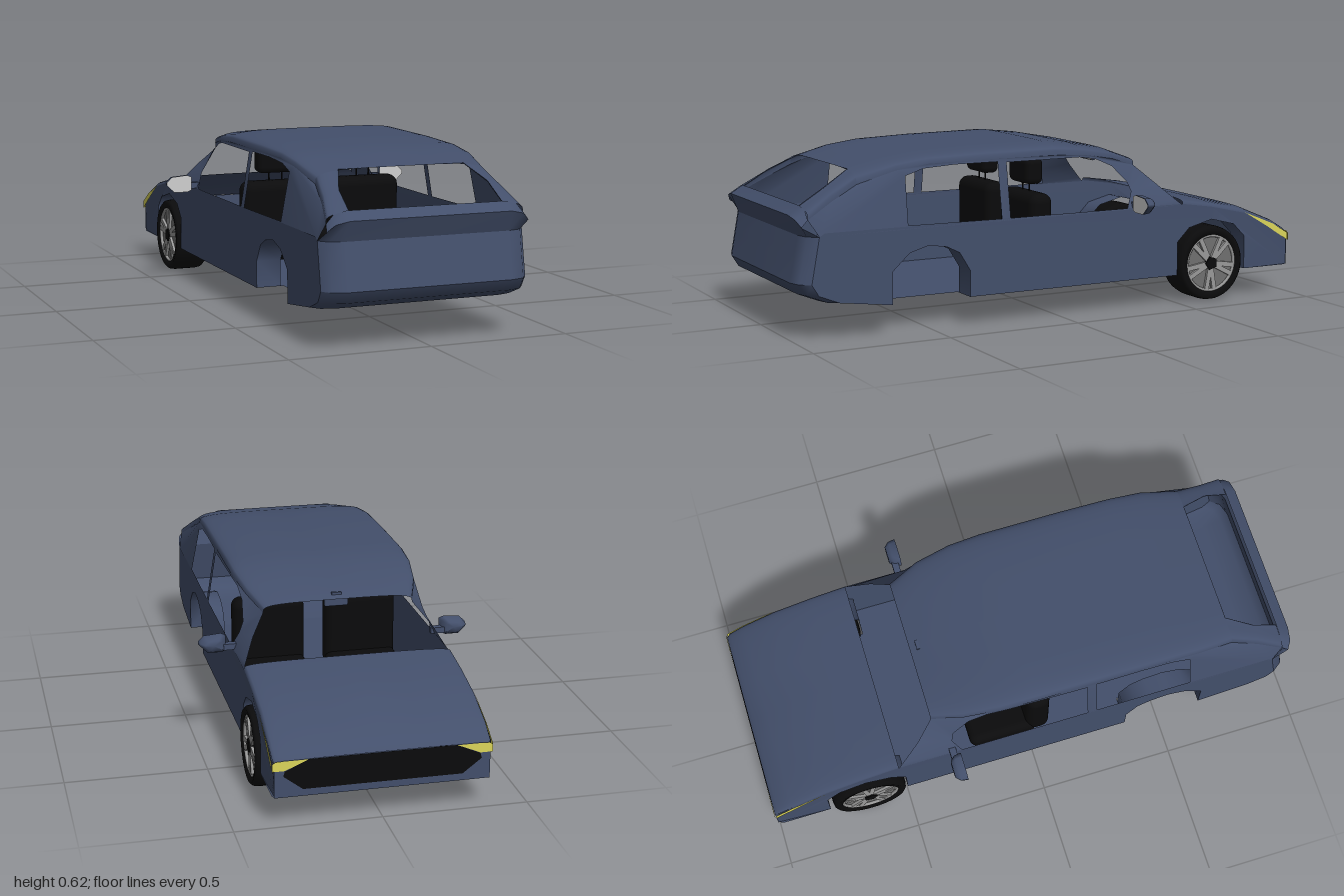
import * as THREE from 'three';
import { RoundedBoxGeometry } from 'three/addons/geometries/RoundedBoxGeometry.js';

const mat = (name, color, side = THREE.FrontSide) => {
  const m = new THREE.MeshStandardMaterial({ color, side });
  m.name = name;
  return m;
};

// Roof stations, nose to tail: z, crown height, rail x, rail y, rear window half width
const ROOF = [
  [-0.365, 0.545, 0.27, 0.515, 0], [-0.25, 0.585, 0.31, 0.55, 0], [-0.12, 0.608, 0.33, 0.573, 0],
  [0, 0.622, 0.335, 0.579, 0], [0.3, 0.618, 0.335, 0.58, 0], [0.5, 0.61, 0.333, 0.578, 0],
  [0.62, 0.595, 0.33, 0.562, 0], [0.76, 0.565, 0.312, 0.52, 0], [0.76, 0.565, 0.312, 0.52, 0.23],
  [0.86, 0.515, 0.33, 0.47, 0.27], [0.955, 0.458, 0.355, 0.418, 0.275],
];
// Bonnet stations in the same layout
const HOOD = [
  [-0.52, 0.392, 0.37, 0.372, 0], [-0.65, 0.373, 0.37, 0.352, 0], [-0.8, 0.342, 0.37, 0.318, 0],
  [-0.93, 0.288, 0.37, 0.265, 0], [-0.985, 0.253, 0.368, 0.235, 0], [-1, 0.235, 0.362, 0.222, 0],
];
// Wheel arch outlines as z, y
const REAR_ARCH = [[0.36, 0.105], [0.36, 0.2], [0.4, 0.265], [0.45, 0.29], [0.52, 0.3], [0.59, 0.28], [0.655, 0.22], [0.655, 0.105]];
const FRONT_ARCH = [[-0.8, 0.105], [-0.8, 0.23], [-0.75, 0.28], [-0.65, 0.305], [-0.55, 0.28], [-0.5, 0.23], [-0.5, 0.105]];

// Surface through rows of 3D points
function loft(rows) {
  const n = rows[0].length, idx = [];
  for (let i = 0; i < rows.length - 1; i++)
    for (let j = 0; j < n - 1; j++) {
      const a = i * n + j, b = a + n;
      idx.push(a, b, a + 1, b, b + 1, a + 1);
    }
  const g = new THREE.BufferGeometry();
  g.setAttribute('position', new THREE.Float32BufferAttribute(rows.flat(2), 3));
  g.setIndex(idx);
  g.computeVertexNormals();
  return g;
}

// Half of a crowned panel, from the side rail up to the centre (or the window edge)
const crown = (stations, s) => loft(stations.map(([z, top, rx, ry, hw]) => {
  const row = [];
  for (let k = 0; k <= 10; k++) {
    const t = (k / 10) * Math.PI / 2;
    const x = k === 10 ? 0 : rx * Math.sqrt(Math.cos(t));
    row.push([s * Math.max(hw, x), ry + (top - ry) * Math.sqrt(Math.sin(t)), z]);
  }
  return row;
}));

// Flat outline with holes, its corners placed in space by a rule
function panel(pts, holes, place) {
  const v = (p) => p.map(([a, b]) => new THREE.Vector2(a, b));
  const shape = new THREE.Shape(v(pts));
  holes.forEach((h) => shape.holes.push(new THREE.Path(v(h))));
  const g = new THREE.ShapeGeometry(shape), p = g.attributes.position;
  for (let i = 0; i < p.count; i++) p.setXYZ(i, ...place(p.getX(i), p.getY(i)));
  g.computeVertexNormals();
  return g;
}

// Rail position at any z
function rail(z) {
  let i = 0;
  while (i < ROOF.length - 2 && ROOF[i + 1][0] < z) i++;
  const a = ROOF[i], b = ROOF[i + 1];
  const t = THREE.MathUtils.clamp((z - a[0]) / (b[0] - a[0] || 1), 0, 1);
  return [a[2] + (b[2] - a[2]) * t, a[3] + (b[3] - a[3]) * t];
}

export function createModel() {
  const car = new THREE.Group();
  car.name = 'car';
  const paint = mat('bluePaint', 0x434f6b, THREE.DoubleSide);
  const black = mat('black', 0x0b0b0c, THREE.DoubleSide);
  const silver = mat('mirrorSilver', 0xcfcfcf);
  const yellow = mat('lampYellow', 0xdcd65a, THREE.DoubleSide);
  const alloy = mat('alloy', 0x999999);
  const rimGrey = mat('rimGrey', 0x707070);
  const add = (name, geo, m, parent = car, x = 0, y = 0, z = 0) => {
    const mesh = new THREE.Mesh(geo, m);
    mesh.name = name;
    mesh.position.set(x, y, z);
    parent.add(mesh);
    return mesh;
  };

  // Outline of the lower flank, with both arches cut from its bottom edge
  const flank = [
    [-1, 0.105], ...FRONT_ARCH, ...REAR_ARCH, [0.66, 0.105], [0.85, 0.13], [0.925, 0.16], [0.95, 0.2],
    [0.935, 0.28], [0.92, 0.36], [0.9, 0.372], ...HOOD.map((h) => [h[0], h[3]]),
  ];
  // Greenhouse side with two window openings
  const upper = [
    [-0.52, 0.368], [0.92, 0.36], [0.955, 0.418], ...ROOF.filter((r, i) => i !== 8 && i !== 10).reverse().map((r) => [r[0], r[3]]),
    [-0.43, 0.45], [-0.5, 0.385],
  ];
  const frontWindow = [[0.2, 0.37], [0.2, 0.566], [-0.1, 0.566], [-0.17, 0.555], [-0.24, 0.525], [-0.3, 0.465], [-0.31, 0.43], [-0.28, 0.37]];
  const rearWindow = [[0.595, 0.375], [0.235, 0.372], [0.235, 0.57], [0.4, 0.57], [0.52, 0.563], [0.59, 0.542]];

  for (const s of [1, -1]) {
    const side = s > 0 ? 'left' : 'right';
    add(side + 'Roof', crown(ROOF, s), paint);
    add(side + 'Bonnet', crown(HOOD, s), paint);
    add(side + 'LowerFlank', panel(flank, [], (z, y) => [s * (z < -0.99 ? 0.362 : 0.37), y, z]), paint);
    add(side + 'WindowFrame', panel(upper, [frontWindow, rearWindow], (z, y) => {
      if (z < -0.37) return [s * (0.37 - 0.6 * (y - 0.368)), y, z];
      const [rx, ry] = rail(z);
      const t = THREE.MathUtils.clamp((y - 0.37) / (ry - 0.37), 0, 1);
      return [s * (0.37 + (rx - 0.37) * Math.pow(t, 1.2)), y, z];
    }), paint);
    for (const [n, arch] of [['Front', FRONT_ARCH], ['Rear', REAR_ARCH]])
      add(side + n + 'ArchLip', loft([0.37, 0.28].map((x) => arch.map(([z, y]) => [s * x, y, z]))), paint);

    // Headlamp wrapping from the flank onto the nose
    add(side + 'LampSide', panel([[-0.8, 0.32], [-0.93, 0.268], [-0.998, 0.228], [-0.998, 0.2], [-0.9, 0.262]], [],
      (z, y) => [s * 0.373, y, z]), yellow);
    add(side + 'LampFront', panel([[0.372, 0.2], [0.372, 0.226], [0.36, 0.234], [0.25, 0.234], [0.33, 0.2]], [],
      (x, y) => [s * x, y, -1.003]), yellow);

    // Door mirror
    const mirror = new THREE.Group();
    mirror.name = side + 'DoorMirror';
    car.add(mirror);
    const glass = [[0.393, 0.368], [0.41, 0.361], [0.462, 0.361], [0.491, 0.39], [0.491, 0.4], [0.47, 0.42], [0.41, 0.425], [0.393, 0.418]];
    const ring = (z, k) => glass.concat([glass[0]]).map(([x, y]) => [s * (0.44 + (x - 0.44) * k), 0.393 + (y - 0.393) * k, z]);
    add('mirrorShell', loft([ring(-0.292, 1), ring(-0.318, 0.92), ring(-0.335, 0.6), ring(-0.335, 0)]), paint, mirror);
    const plate = panel(glass, [], (x, y) => [s * x, y, -0.29]);
    add('mirrorBack', plate, paint, mirror, 0, 0, -0.002);
    const face = panel(glass.map(([x, y]) => [s * x, y]), [], (x, y) => [x, y, -0.289]);
    add('mirrorGlass', face, silver, mirror);
    add('mirrorStem', new THREE.BoxGeometry(0.05, 0.022, 0.025), paint, mirror, s * 0.38, 0.383, -0.315);

    // Front seat with headrest on two posts
    const seat = new THREE.Group();
    seat.name = side + 'Seat';
    seat.position.x = s * 0.175;
    car.add(seat);
    add('seatBack', new RoundedBoxGeometry(0.27, 0.29, 0.09, 4, 0.035), black, seat, 0, 0.292, 0.035);
    add('seatCushion', new RoundedBoxGeometry(0.27, 0.08, 0.26, 3, 0.03), black, seat, 0, 0.17, -0.1);
    add('headrest', new RoundedBoxGeometry(0.152, 0.095, 0.07, 4, 0.022), black, seat, 0, 0.513, 0.035);
    for (const p of [-0.025, 0.025])
      add('headrestPost', new THREE.CylinderGeometry(0.003, 0.003, 0.06, 8), black, seat, p, 0.45, 0.035);

    // Front wheel, its axis turned to point outwards
    const wheel = new THREE.Group();
    wheel.name = side + 'FrontWheel';
    wheel.position.set(s * 0.318, 0.14, -0.645);
    wheel.rotation.z = -s * Math.PI / 2;
    car.add(wheel);
    const tyre = [[0.108, -0.062], [0.128, -0.067], [0.137, -0.058], [0.14, -0.04], [0.14, 0.04], [0.137, 0.058], [0.128, 0.067], [0.108, 0.062], [0.106, 0.045]];
    add('tyre', new THREE.LatheGeometry(tyre.map(([r, y]) => new THREE.Vector2(r, y)), 40), black, wheel);
    add('rimDisc', new THREE.CylinderGeometry(0.108, 0.108, 0.1, 36), rimGrey, wheel);
    add('rimRing', new THREE.TorusGeometry(0.104, 0.006, 8, 40), alloy, wheel, 0, 0.055, 0).rotation.x = Math.PI / 2;
    for (let i = 0; i < 5; i++)
      for (const d of [-0.17, 0.17]) {
        const spoke = new THREE.Group();
        spoke.name = 'spoke';
        spoke.rotation.y = (i / 5) * Math.PI * 2 + d;
        wheel.add(spoke);
        add('spokeBar', new THREE.BoxGeometry(0.085, 0.012, 0.018), alloy, spoke, 0.062, 0.054, 0);
      }
    add('hub', new THREE.CylinderGeometry(0.026, 0.028, 0.02, 5), black, wheel, 0, 0.055, 0);
  }

  // Tail: z, y, half width, drop and pull-back at the corners
  const TAIL = [
    [0.955, 0.458, 0.355, 0.04, 0.0], [1, 0.43, 0.362, 0.035, 0.02], [0.97, 0.36, 0.37, 0, 0.05],
    [0.985, 0.28, 0.37, 0, 0.05], [1, 0.2, 0.37, 0, 0.05], [0.975, 0.16, 0.37, 0, 0.05],
    [0.9, 0.13, 0.37, 0, 0.05], [0.66, 0.105, 0.37, 0, 0],
  ];
  const tailRow = ([z, y, w, drop, pull]) => [-1, -0.93, -0.8, 0, 0.8, 0.93, 1].map((u) => {
    const k = Math.abs(u) === 1 ? 1 : Math.abs(u) > 0.9 ? 0.3 : 0;
    return [u * w, y - drop * k, z - pull * k];
  });
  [['spoilerTop', 0, 2], ['spoilerUnderside', 1, 3], ['tailPanel', 2, 5], ['rearBumper', 4, 8]].forEach(([n, a, b]) =>
    add(n, loft(TAIL.slice(a, b).map(tailRow)), paint));

  // Floor with the wheel wells cut out
  const edge = [[0.362, -1], [0.37, -0.98], [0.37, -0.8], [0.27, -0.8], [0.27, -0.5], [0.37, -0.5], [0.37, 0.36], [0.27, 0.36], [0.27, 0.66]];
  add('floor', panel([...edge, ...edge.map(([x, z]) => [-x, z]).reverse()], [], (x, z) => [x, 0.105, z]), paint);

  // Nose and grille
  add('nose', panel([[-0.365, 0.105], [0.365, 0.105], [0.365, 0.222], [0.34, 0.234], [-0.34, 0.234], [-0.365, 0.222]], [],
    (x, y) => [x, y, -1]), paint);
  const half = [[0.25, 0.234], [0.33, 0.198], [0.335, 0.18], [0.27, 0.13]];
  add('grille', panel([...half, ...half.map(([x, y]) => [-x, y]).reverse()], [], (x, y) => [x, y, -1.002]), black);

  // Interior mirror
  add('interiorMirror', new RoundedBoxGeometry(0.086, 0.038, 0.016, 2, 0.006), paint, car, 0, 0.528, -0.33);
  add('interiorMirrorGlass', new THREE.BoxGeometry(0.078, 0.031, 0.004), silver, car, 0, 0.528, -0.322);
  add('interiorMirrorStem', new THREE.BoxGeometry(0.035, 0.02, 0.012), paint, car, 0, 0.552, -0.335);
  return car;
}
